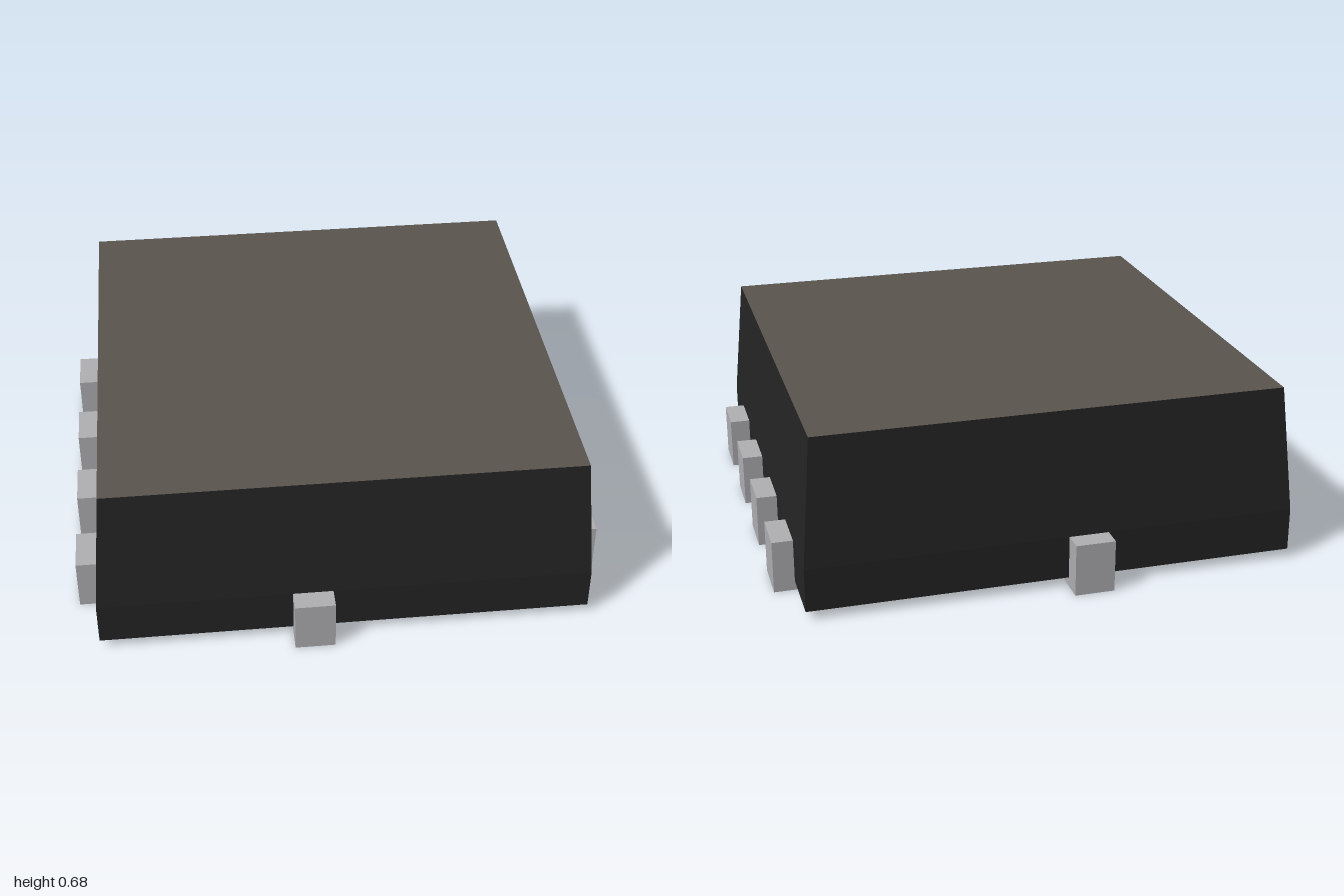
import * as THREE from 'three';

export function createModel() {
  const model = new THREE.Group();
  model.name = 'chipPackage';

  const mat = (name, color) => {
    const m = new THREE.MeshStandardMaterial({ color });
    m.name = name;
    return m;
  };
  const black = mat('blackResin', 0x242424);
  const topGrey = mat('warmGreyTop', 0x5a554e);
  const metal = mat('tinMetal', 0xb0b0b4);

  const add = (name, geometry, material) => {
    const mesh = new THREE.Mesh(geometry, material);
    mesh.name = name;
    model.add(mesh);
    return mesh;
  };

  const FOOT = 0.035, BELT = 0.2, TOP = 0.68;
  const WIDE = 0.922, NARROW = 0.88;

  // Moulded body: straight base, then a tapered upper part with its own top colour
  const base = new THREE.BoxGeometry(2 * WIDE, BELT - FOOT, 2 * WIDE);
  base.translate(0, (BELT + FOOT) / 2, 0);
  add('bodyBase', base, black);

  const upper = new THREE.BoxGeometry(2 * WIDE, TOP - BELT, 2 * WIDE);
  const p = upper.attributes.position;
  for (let i = 0; i < p.count; i++) {
    if (p.getY(i) > 0) {
      p.setX(i, Math.sign(p.getX(i)) * NARROW);
      p.setZ(i, Math.sign(p.getZ(i)) * NARROW);
    }
  }
  upper.translate(0, (TOP + BELT) / 2, 0);
  upper.computeVertexNormals();
  add('bodyUpper', upper, [black, black, topGrey, black, black, black]);

  // L-shaped lead: flat foot under the body, upright end outside it
  const lead = (name, width, reach, angle, x, z) => {
    const s = new THREE.Shape([
      [reach, 0], [1, 0], [1, BELT], [0.9, BELT], [0.9, FOOT], [reach, FOOT],
    ].map(([a, b]) => new THREE.Vector2(a, b)));
    const g = new THREE.ExtrudeGeometry(s, { depth: width, bevelEnabled: false });
    g.translate(0, 0, -width / 2);
    g.rotateY(angle);
    g.translate(x, 0, z);
    add(name, g, metal);
  };

  for (const z of [-0.592, -0.197, 0.197, 0.592]) {
    lead('leftLead', 0.182, 0.745, 0, 0, z);
    lead('rightLead', 0.182, 0.745, Math.PI, 0, z);
  }
  lead('frontTab', 0.15, 0.7, -Math.PI / 2, -0.125, 0);
  lead('backTab', 0.15, 0.7, Math.PI / 2, -0.125, 0);

  // Exposed pad under the body, with collars where the leads and tabs join
  const half = [
    [-0.22, 0.7], [-0.03, 0.7], [0, 0.66], [0.03, 0.65],
    [0.71, 0.65], [0.72, 0.7], [0.745, 0.7], [0.745, 0.48],
    [0.72, 0.48], [0.72, 0.31], [0.745, 0.31], [0.745, 0.09], [0.72, 0.09],
  ];
  const outline = [...half, ...half.map(([x, y]) => [x, -y]).reverse()];
  const pad = new THREE.ExtrudeGeometry(
    new THREE.Shape(outline.map(([x, y]) => new THREE.Vector2(x, y))),
    { depth: FOOT, bevelEnabled: false },
  );
  pad.rotateX(-Math.PI / 2);
  add('thermalPad', pad, metal);

  return model;
}
